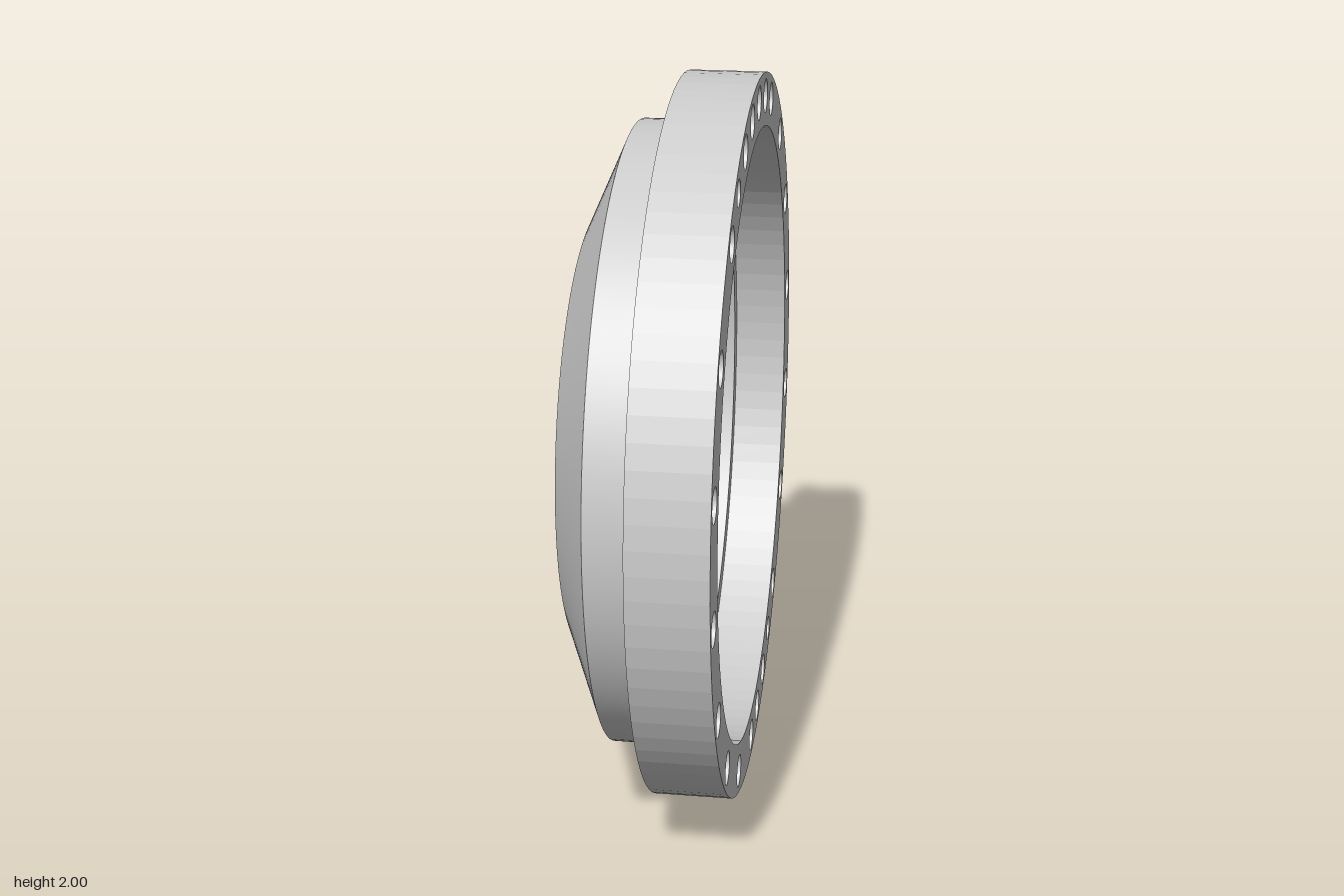
import * as THREE from 'three';

const TAU = Math.PI * 2;
const material = new THREE.MeshStandardMaterial({ color: 0xcccccc, side: THREE.DoubleSide });

// Local frame: the cover's axis is z (open side +z); the whole thing is turned to face +x at the end.
const BOSS_R = 0.788, LOBE = 0.115, POCKET = 0.088, BORE = 0.04;
const LEDGE_Z = 0.075, POCKET_Z = -0.115, GAP = 0.2;
const outerCone = { r0: 0.605, z0: -0.225, r1: 0.866, z1: -0.11 };
const innerCone = { r0: 0.595, z0: -0.15, r1: 0.8, z1: -0.065 };
const coneZ = (c, r) => c.z0 + (c.z1 - c.z0) * (r - c.r0) / (c.r1 - c.r0);

function add(parent, name, geometry) {
  const mesh = new THREE.Mesh(geometry, material);
  mesh.name = name;
  parent.add(mesh);
}

// Surface of revolution about z, leaving out +-gap radians around the boss (+y)
function revolve(profile, gap = 0) {
  const points = profile.map(([r, z]) => new THREE.Vector2(r, z));
  return new THREE.LatheGeometry(points, 120, Math.PI + gap, TAU - 2 * gap).rotateX(Math.PI / 2);
}

// Points on a circle around the boss centre, angle measured from +y
function bossArc(radius, from = 0, to = TAU, n = 40) {
  return Array.from({ length: n + 1 }, (_, i) => {
    const a = from + (to - from) * i / n;
    return new THREE.Vector2(radius * Math.sin(a), BOSS_R + radius * Math.cos(a));
  });
}

// The part of such a circle inside radius r of the cover, with half the angle it spans there
function lobeInside(radius, r) {
  const span = Math.acos((BOSS_R ** 2 + r ** 2 - radius ** 2) / (2 * BOSS_R * r));
  const start = Math.atan2(r * Math.sin(span), r * Math.cos(span) - BOSS_R);
  return { span, arc: bossArc(radius, start, TAU - start) };
}

const toPolar = p => new THREE.Vector2(Math.atan2(p.x, p.y), p.length());
const toPlane = p => new THREE.Vector2(p.y * Math.sin(p.x), p.y * Math.cos(p.x));

// Row of (angle, radius) points at one radius
const row = (r, from, to, n = 16) => Array.from({ length: n + 1 }, (_, i) =>
  new THREE.Vector2(from + (to - from) * i / n, r));

// Piece of cone given by an outline in (angle, radius)
function conePatch(cone, outline, hole) {
  const shape = new THREE.Shape(outline);
  if (hole) shape.holes.push(new THREE.Path(hole));
  const g = new THREE.ShapeGeometry(shape);
  const p = g.attributes.position;
  for (let i = 0; i < p.count; i++) {
    const t = p.getX(i), r = p.getY(i);
    p.setXYZ(i, r * Math.sin(t), r * Math.cos(t), coneZ(cone, r));
  }
  // angle runs clockwise, so turn the faces that should look inward
  if (cone === innerCone) {
    const idx = g.index.array;
    for (let i = 0; i < idx.length; i += 3) [idx[i], idx[i + 1]] = [idx[i + 1], idx[i]];
  }
  g.computeVertexNormals();
  return g;
}

// Wall along a path between two heights
function wall(points, low, high) {
  const pos = [], index = [];
  points.forEach((p, i) => {
    pos.push(p.x, p.y, low(p), p.x, p.y, high(p));
    if (i) {
      const k = 2 * i;
      index.push(k - 2, k - 1, k, k, k - 1, k + 1);
    }
  });
  const g = new THREE.BufferGeometry();
  g.setAttribute('position', new THREE.Float32BufferAttribute(pos, 3));
  g.setIndex(index);
  g.computeVertexNormals();
  return g;
}

// Bolted ring with its pattern of holes (degrees clockwise from the top)
function makeFlange(parent) {
  const shape = new THREE.Shape().absarc(0, 0, 1, 0, TAU);
  shape.holes.push(new THREE.Path().absarc(0, 0, 0.855, 0, TAU, true));
  const bolts = [10, 170, 350];
  for (let a = 0; a < 360; a += 20) bolts.push(a);
  const drill = (deg, radius) => {
    const a = THREE.MathUtils.degToRad(deg);
    shape.holes.push(new THREE.Path().absarc(
      0.936 * Math.sin(a), 0.936 * Math.cos(a), radius, 0, TAU, true));
  };
  bolts.forEach(a => drill(a, 0.046));
  [150, 330].forEach(a => drill(a, 0.036));
  const g = new THREE.ExtrudeGeometry(shape, { depth: 0.21, bevelEnabled: false, curveSegments: 48 });
  add(parent, 'flange', g.translate(0, 0, 0.015));
}

function makeDish(parent) {
  const dish = new THREE.Group();
  dish.name = 'dish';
  dish.rotation.z = -Math.atan2(0.505, 0.605);
  parent.add(dish);

  const o = outerCone, n = innerCone;
  const { span, arc: lobe } = lobeInside(LOBE, n.r1);
  const bore = bossArc(BORE);

  // Pocket outline: an arc closed where its flat floor runs out through the cone
  const exitR = o.r0 + (POCKET_Z - o.z0) / (o.z1 - o.z0) * (o.r1 - o.r0);
  const { span: exitSpan, arc: pocket } = lobeInside(POCKET, exitR);
  const pocketPolar = [...pocket.map(toPolar), ...row(exitR, -exitSpan, exitSpan, 8).slice(1, -1)];

  // Outside shell
  add(dish, 'outerRim', revolve([[o.r1, o.z1], [o.r1, 0.02]]));
  add(dish, 'outerCone', revolve([[o.r0, o.z0], [o.r1, o.z1]], GAP));
  add(dish, 'outerConePatch', conePatch(o,
    [...row(o.r0, -GAP, GAP), ...row(o.r1, GAP, -GAP)], pocketPolar));
  add(dish, 'outerFloor', revolve([[0, o.z0], [o.r0, o.z0]]));

  // Inside shell
  add(dish, 'innerWall', revolve([[n.r1, LEDGE_Z], [n.r1, n.z1]], span));
  add(dish, 'innerCone', revolve([[n.r1, n.z1], [n.r0, n.z0]], GAP));
  add(dish, 'innerConePatch', conePatch(n, [
    ...row(n.r0, -GAP, GAP), ...row(n.r1, GAP, span, 4).slice(0, -1),
    ...lobe.map(toPolar), ...row(n.r1, -span, -GAP, 4).slice(1)]));
  add(dish, 'innerFloor', revolve([[n.r0, n.z0], [0, n.z0]]));

  // Ledge and boss top in one plane
  const ledge = new THREE.Shape().absarc(0, 0, 0.856, 0, TAU);
  const opening = row(n.r1, -span, span - TAU, 120).slice(1, -1).map(toPlane);
  ledge.holes.push(new THREE.Path([...lobe, ...opening]), new THREE.Path(bore.slice(0, -1)));
  add(dish, 'ledge', new THREE.ShapeGeometry(ledge, 60).translate(0, 0, LEDGE_Z));

  // Boss side, through bore and the spot-faced pocket at the back
  add(dish, 'bossSide', wall(lobe, p => coneZ(n, p.length()), () => LEDGE_Z));
  add(dish, 'bossBore', wall([...bore].reverse(), () => POCKET_Z, () => LEDGE_Z));
  add(dish, 'pocketWall', wall([...pocket].reverse(), p => coneZ(o, p.length()), () => POCKET_Z));
  // mirrored by the half turn, which the symmetric outline allows
  const floor = new THREE.Shape(pocketPolar.map(toPlane));
  floor.holes.push(new THREE.Path(bore.slice(0, -1)));
  add(dish, 'pocketFloor', new THREE.ShapeGeometry(floor).rotateY(Math.PI).translate(0, 0, POCKET_Z));
}

export function createModel() {
  const model = new THREE.Group();
  model.name = 'cover';
  const body = new THREE.Group();
  body.name = 'coverBody';
  body.rotation.y = Math.PI / 2;
  body.position.y = 1;
  makeFlange(body);
  makeDish(body);
  model.add(body);
  return model;
}
